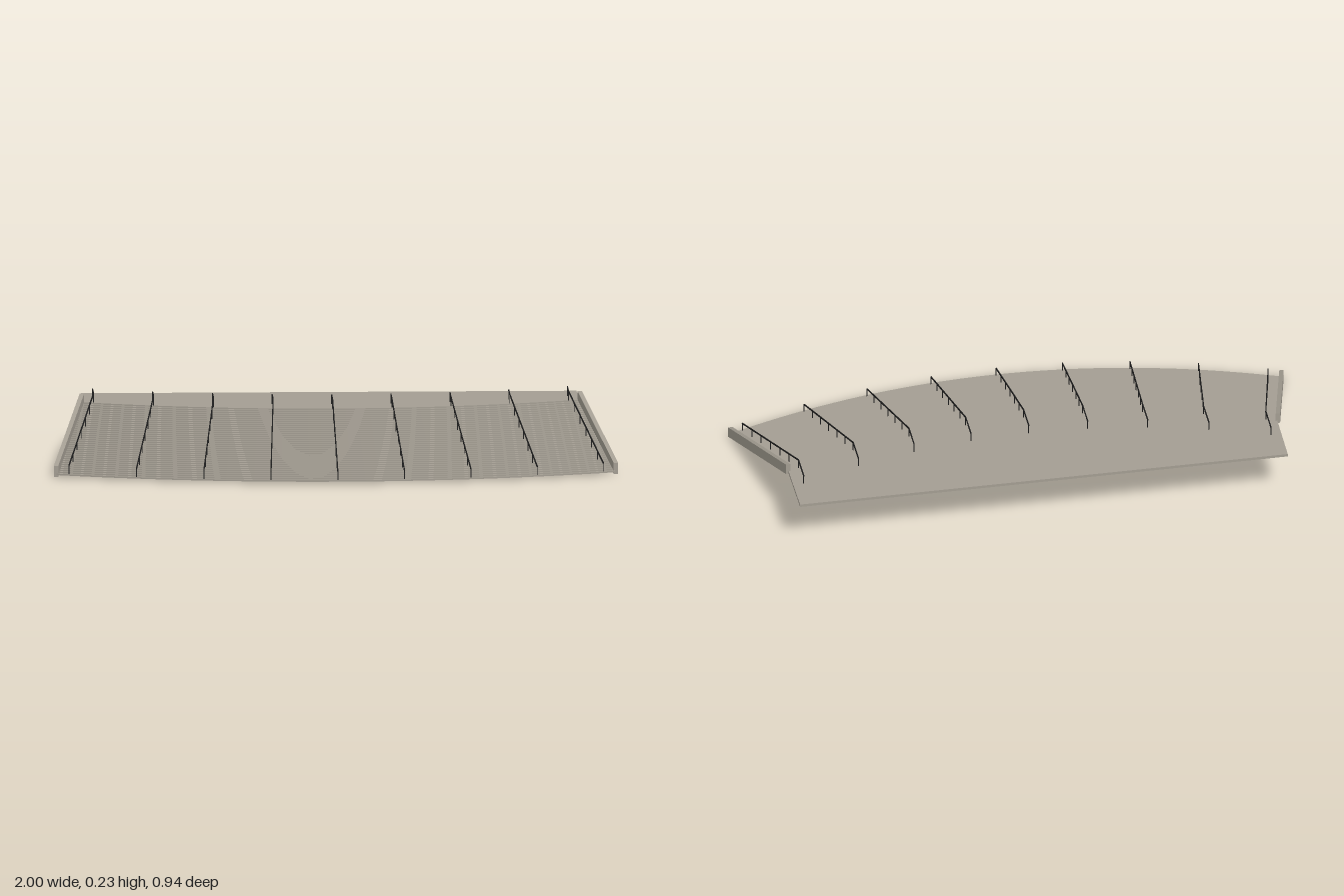
import * as THREE from 'three';
import { mergeGeometries } from 'three/addons/utils/BufferGeometryUtils.js';

const STEPS = 36, SEGMENTS = 40;
const FIRST_Y = 0.0125, TOP_Y = 0.19;

// Plan position: u runs across (-1..1), t runs from the front (0) to the top (1)
const planX = (u, t) => u * (0.99 - 0.11 * t);
const planZ = (u, t) => 0.468 - 0.535 * t - (0.195 - 0.012 * t) * u * u;
const arc = t => Array.from({ length: SEGMENTS + 1 }, (_, i) => {
  const u = -1 + 2 * i / SEGMENTS;
  return new THREE.Vector2(planX(u, t), -planZ(u, t));
});

// Horizontal slab with a plan outline and its top at the given height
function slab(outline, top, thickness) {
  const g = new THREE.ExtrudeGeometry(new THREE.Shape(outline), { depth: thickness, bevelEnabled: false });
  g.rotateX(-Math.PI / 2);
  g.translate(0, top - thickness, 0);
  return g;
}

// Square bar between two points
function bar(a, b, size) {
  const g = new THREE.BoxGeometry(size, size, a.distanceTo(b) + size);
  const holder = new THREE.Object3D();
  holder.position.copy(a).add(b).multiplyScalar(0.5);
  holder.lookAt(b);
  holder.updateMatrix();
  return g.applyMatrix4(holder.matrix);
}

export function createModel() {
  const model = new THREE.Group();
  model.name = 'curvedStaircase';
  const stone = new THREE.MeshStandardMaterial({ name: 'warm grey stone', color: 0xa39d92 });
  const metal = new THREE.MeshStandardMaterial({ name: 'black metal', color: 0x1b1b1b });
  const add = (name, geometry, material) => {
    const mesh = new THREE.Mesh(geometry, material);
    mesh.name = name;
    model.add(mesh);
  };

  // Curved steps, narrowing as they climb
  const steps = [];
  for (let i = 0; i < STEPS; i++) {
    const outline = [...arc(i / STEPS), ...arc((i + 1) / STEPS).reverse()];
    const top = FIRST_Y + (TOP_Y - FIRST_Y) * i / STEPS;
    steps.push(slab(outline, top, 0.0055));
  }
  add('steps', mergeGeometries(steps), stone);

  // Upper landing, whose front edge follows the last step
  const landing = [...arc(1), new THREE.Vector2(0.878, 0.47), new THREE.Vector2(-0.878, 0.47)];
  add('landing', slab(landing, TOP_Y, 0.01), stone);

  // Sloping side walls
  for (const side of [-1, 1]) {
    const g = new THREE.BoxGeometry(0.016, 0.04, 1);
    const p = g.attributes.position;
    for (let i = 0; i < p.count; i++) {
      const t = 0.5 - p.getZ(i);
      p.setXYZ(i,
        p.getX(i) + side * (0.992 - 0.11 * t),
        p.getY(i) + 0.02 + 0.18 * t,
        0.272 - 0.528 * t);
    }
    g.computeVertexNormals();
    add(side > 0 ? 'leftWall' : 'rightWall', g, stone);
  }

  // Handrails with posts, each running level onto the landing
  const POSTS = 6, RAIL = 0.033;
  for (let k = -4; k <= 4; k++) {
    const u = k * 0.239;
    const at = (t, y) => new THREE.Vector3(planX(u, t), y, planZ(u, t) - 0.006);
    const floor = t => FIRST_Y + (TOP_Y - FIRST_Y) * t - 0.003;
    const top = at(1, TOP_Y + RAIL);
    const end = top.clone().setZ(top.z - 0.1);
    const parts = [
      bar(at(0, FIRST_Y + RAIL - 0.003), top, 0.004),
      bar(top, end, 0.004),
      bar(end.clone().setY(TOP_Y), end, 0.003),
    ];
    for (let i = 0; i <= POSTS; i++) {
      const t = i / POSTS;
      parts.push(bar(at(t, floor(t)), at(t, floor(t) + RAIL), 0.003));
    }
    add('handrail', mergeGeometries(parts), metal);
  }
  return model;
}
